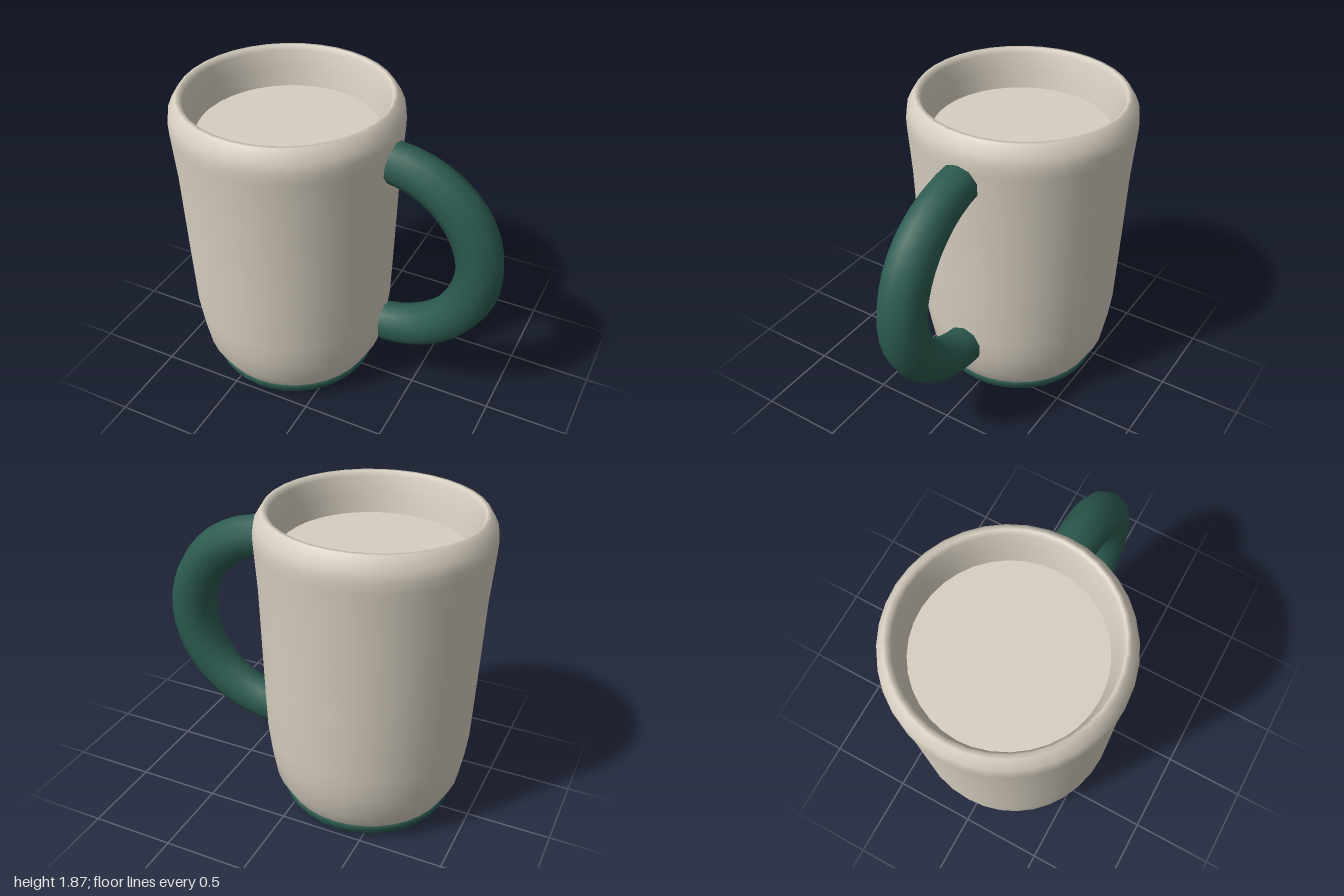
import * as THREE from 'three';
import { ParametricGeometry } from 'three/addons/geometries/ParametricGeometry.js';

const SIDES = 36;
const MUG_X = -0.335;

function material(name, color) {
  const m = new THREE.MeshStandardMaterial({ color });
  m.name = name;
  return m;
}

// Revolved part around the mug axis, from [radius, y] pairs
function lathe(name, profile, mat) {
  const points = profile.map(([r, y]) => new THREE.Vector2(r, y));
  const mesh = new THREE.Mesh(new THREE.LatheGeometry(points, SIDES), mat);
  mesh.name = name;
  mesh.position.x = MUG_X;
  return mesh;
}

export function createModel() {
  const model = new THREE.Group();
  model.name = 'mug';
  const cream = material('cream glaze', 0xd6cec0);
  const green = material('dark green glaze', 0x2c5b50);

  // Body: outer wall, rounded rim and inner wall
  model.add(lathe('body', [
    [0.505, 0.09], [0.565, 0.2], [0.592, 0.35], [0.61, 0.5], [0.625, 0.9], [0.642, 1.4],
    [0.662, 1.68], [0.664, 1.74], [0.655, 1.8], [0.613, 1.868], [0.59, 1.868],
    [0.574, 1.84], [0.548, 1.74], [0.525, 1.62],
  ], cream));

  // Raised inner floor
  const floor = new THREE.Mesh(new THREE.CircleGeometry(0.53, SIDES).rotateX(-Math.PI / 2), cream);
  floor.name = 'innerFloor';
  floor.position.set(MUG_X, 1.63, 0);
  model.add(floor);

  // Green foot ring with a cream underside
  model.add(lathe('footRing', [
    [0.42, 0.012], [0.475, 0.014], [0.49, 0.025], [0.511, 0.062], [0.514, 0.092], [0.5, 0.094],
  ], green));
  model.add(lathe('underside', [[0, 0], [0.43, 0], [0.435, 0.015]], cream));

  // Handle: an arc that is a little thicker in the middle
  const handle = new THREE.Group();
  handle.name = 'handle';
  const tilt = THREE.MathUtils.degToRad(5);
  const span = Math.PI / 2 - tilt;
  const center = { x: 0.25, y: 1.016 }, rx = 0.61, ry = 0.578;
  const endRadius = 0.121, midRadius = 0.14;

  const tube = new THREE.Mesh(new ParametricGeometry((u, v, target) => {
    const a = THREE.MathUtils.lerp(-span, span, u);
    const b = v * Math.PI * 2;
    const r = endRadius + (midRadius - endRadius) * Math.sin(u * Math.PI);
    target.set(
      center.x + Math.cos(a) * (rx + r * Math.cos(b)),
      center.y + Math.sin(a) * (ry + r * Math.cos(b)),
      r * Math.sin(b),
    );
  }, 20, 10), green);
  tube.name = 'handleTube';
  handle.add(tube);

  // Flat ends of the handle
  for (const side of [-1, 1]) {
    const geometry = new THREE.CircleGeometry(endRadius, 10, Math.PI / 2)
      .rotateY(-Math.PI / 2).rotateZ(-side * tilt);
    const cap = new THREE.Mesh(geometry, green);
    cap.name = side > 0 ? 'upperHandleEnd' : 'lowerHandleEnd';
    cap.position.set(center.x + rx * Math.cos(span), center.y + side * ry * Math.sin(span), 0);
    handle.add(cap);
  }
  model.add(handle);
  return model;
}
